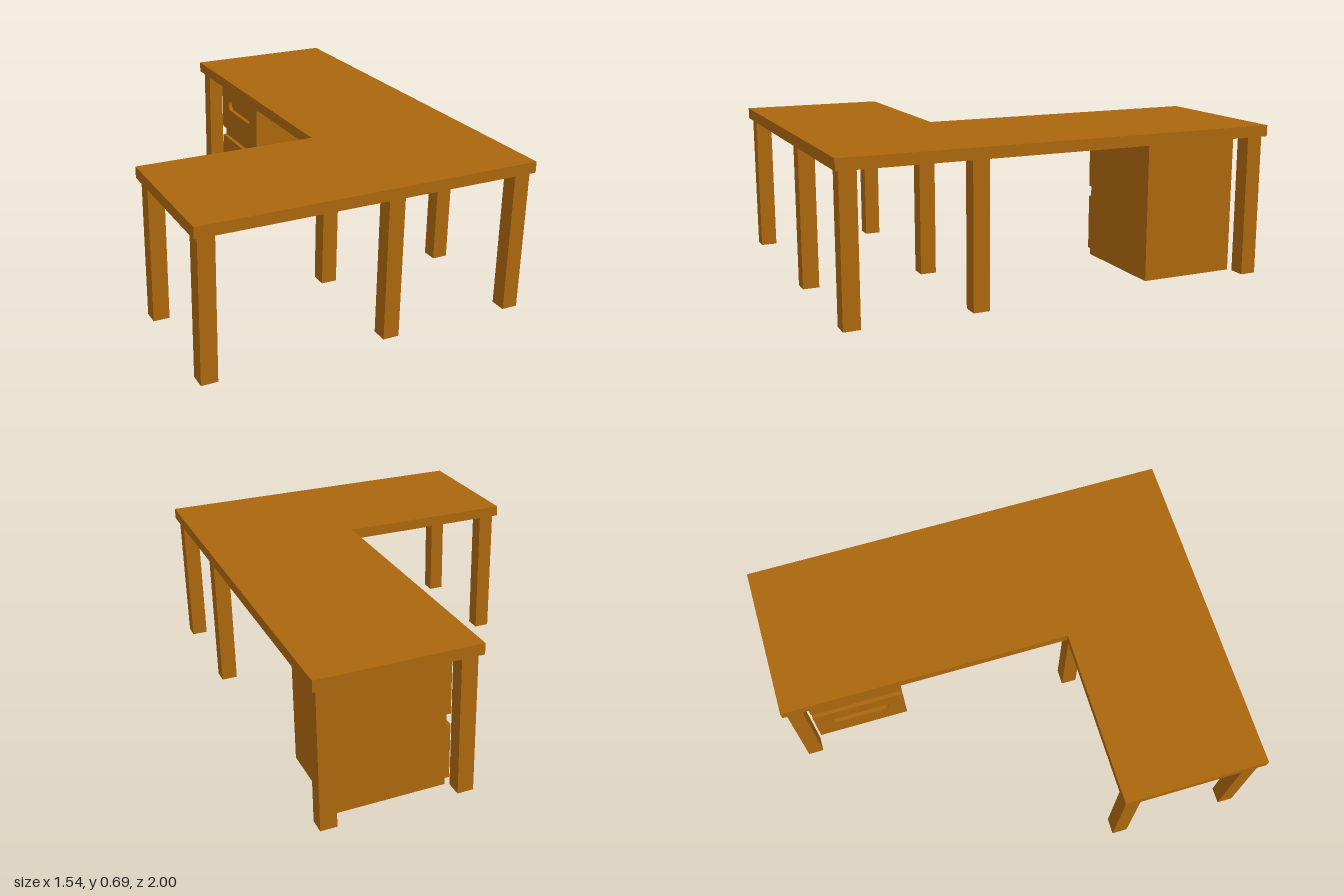
import * as THREE from 'three';

const wood = new THREE.MeshStandardMaterial({ color: 0xaa660c, flatShading: true });

function add(group, name, geometry, x = 0, y = 0, z = 0) {
  const mesh = new THREE.Mesh(geometry, wood);
  mesh.name = name;
  mesh.position.set(x, y, z);
  group.add(mesh);
  return mesh;
}

// L-shaped top, drawn in plan (shape y becomes -z) and extruded upwards
function topGeometry(thickness) {
  const plan = [[-0.77, 1], [0.77, 1], [0.77, -1], [0.05, -1], [0.05, 0.34], [-0.77, 0.34]];
  const shape = new THREE.Shape(plan.map(([x, z]) => new THREE.Vector2(x, -z)));
  return new THREE.ExtrudeGeometry(shape, { depth: thickness, bevelEnabled: false }).rotateX(-Math.PI / 2);
}

// Drawer front with a round-ended grip slot, turned to face -x
function drawerGeometry(width, height, depth) {
  const w = width / 2, h = height / 2;
  const shape = new THREE.Shape([[-w, -h], [w, -h], [w, h], [-w, h]].map(([x, y]) => new THREE.Vector2(x, y)));
  const r = 0.03, reach = 0.115, lift = 0.02;
  const slot = new THREE.Path();
  slot.absarc(reach, lift, r, -Math.PI / 2, Math.PI / 2, false);
  slot.absarc(-reach, lift, r, Math.PI / 2, Math.PI * 1.5, false);
  slot.closePath();
  shape.holes.push(slot);
  return new THREE.ExtrudeGeometry(shape, { depth, bevelEnabled: false, curveSegments: 10 }).rotateY(-Math.PI / 2);
}

export function createModel() {
  const desk = new THREE.Group();
  desk.name = 'cornerDesk';
  const legHeight = 0.64;

  add(desk, 'deskTop', topGeometry(0.05), 0, legHeight, 0);

  // Eight square legs: three across the front, three behind, two at the far end
  const legs = new THREE.Group();
  legs.name = 'legs';
  desk.add(legs);
  const legGeometry = new THREE.BoxGeometry(0.073, legHeight, 0.073);
  for (const z of [0.947, 0.395, -0.947]) {
    for (const x of [-0.716, 0.106, 0.716]) {
      if (x < 0 && z < 0) continue;
      add(legs, 'leg', legGeometry, x, legHeight / 2, z);
    }
  }

  // Drawer cabinet under the long wing, opening towards -x
  const cabinet = new THREE.Group();
  cabinet.name = 'drawerCabinet';
  desk.add(cabinet);
  add(cabinet, 'cabinetBody', new THREE.BoxGeometry(0.5, legHeight, 0.45), 0.41, legHeight / 2, -0.675);
  const front = drawerGeometry(0.45, 0.26, 0.02);
  for (const y of [0.16, 0.47]) add(cabinet, 'drawerFront', front, 0.16, y, -0.675);

  return desk;
}
